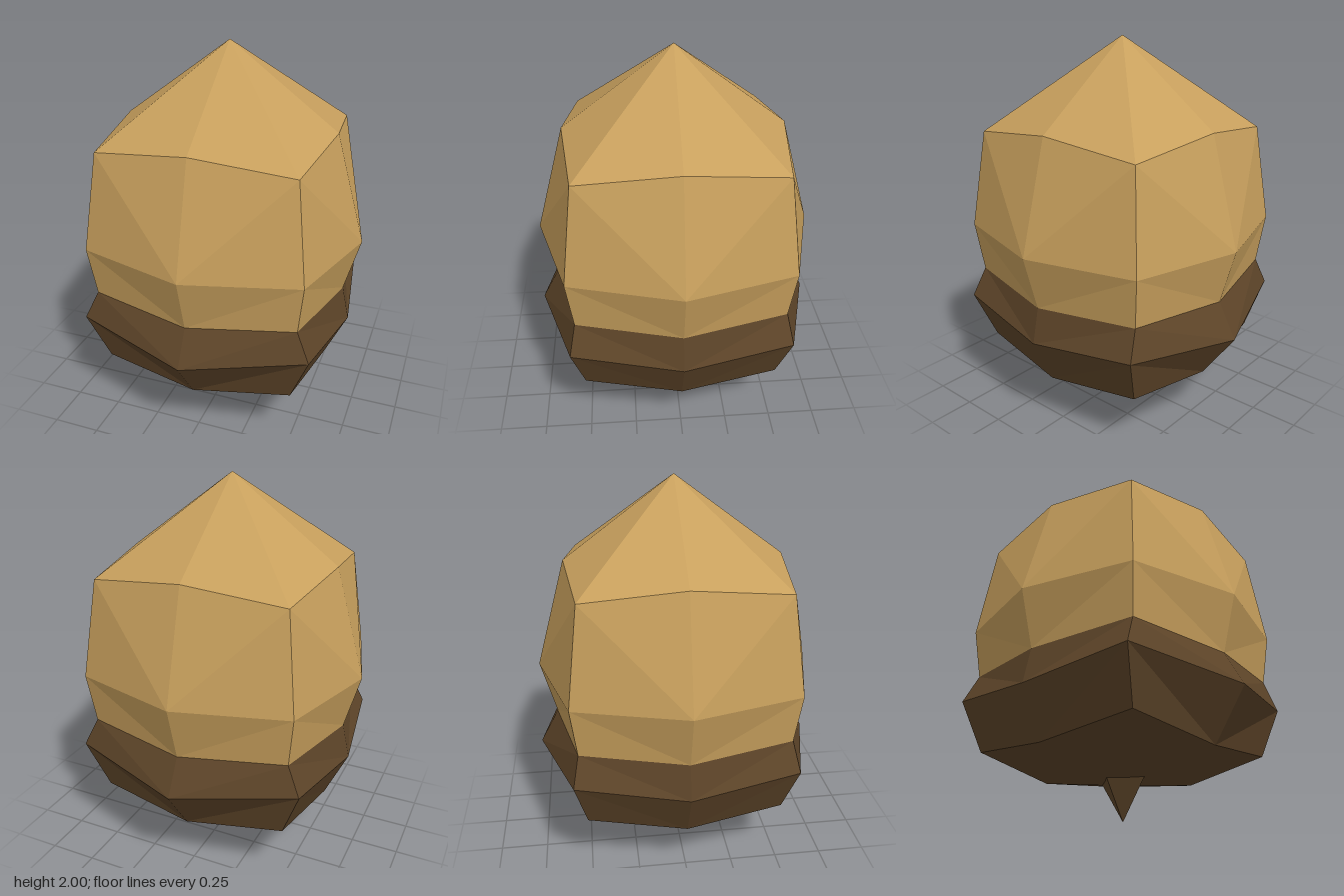
import * as THREE from 'three';

// Ring of eight points: four on the axes, four on the diagonals.
// Arguments: axis x, axis z, axis height, diagonal x, diagonal z, diagonal height.
function ring(ax, az, ay, dx, dz, dy) {
  const points = [];
  for (let i = 0; i < 8; i++) {
    const angle = i * Math.PI / 4;
    const sx = Math.round(Math.sin(angle)), sz = Math.round(Math.cos(angle));
    const diagonal = i % 2 === 1;
    points.push([sx * (diagonal ? dx : ax), diagonal ? dy : ay, sz * (diagonal ? dz : az)]);
  }
  return points;
}

// Faceted skin over rings listed from bottom to top; a tip is a collapsed ring.
function facetedShell(rings) {
  const positions = [];
  const triangle = (a, b, c) => {
    const va = new THREE.Vector3(...a), vb = new THREE.Vector3(...b), vc = new THREE.Vector3(...c);
    if (vb.sub(va).cross(vc.sub(va)).length() > 1e-6) positions.push(...a, ...b, ...c);
  };
  for (let r = 0; r < rings.length - 1; r++) {
    for (let i = 0; i < 8; i++) {
      const j = (i + 1) % 8;
      const a = rings[r][i], b = rings[r][j], c = rings[r + 1][j], d = rings[r + 1][i];
      // Mirror the split so that facets are symmetric about each axis
      if (i % 2 === 0) {
        triangle(a, b, c);
        triangle(a, c, d);
      } else {
        triangle(a, b, d);
        triangle(b, c, d);
      }
    }
  }
  const geometry = new THREE.BufferGeometry();
  geometry.setAttribute('position', new THREE.Float32BufferAttribute(positions, 3));
  geometry.computeVertexNormals();
  return geometry;
}

const tip = (y) => ring(0, 0, y, 0, 0, y);

export function createModel() {
  const group = new THREE.Group();
  const nutTan = new THREE.MeshStandardMaterial({ color: 0xc8a05d });
  nutTan.name = 'nutTan';
  const capBrown = new THREE.MeshStandardMaterial({ color: 0x5e4529 });
  capBrown.name = 'capBrown';

  const add = (name, geometry, material) => {
    const mesh = new THREE.Mesh(geometry, material);
    mesh.name = name;
    group.add(mesh);
    return mesh;
  };

  // Nut, running down a little inside the cap
  add('nut', facetedShell([
    tip(0.45),
    ring(0.57, 0.57, 0.5, 0.49, 0.49, 0.54),
    ring(0.65, 0.65, 0.72, 0.54, 0.54, 0.75),
    ring(0.73, 0.73, 1.01, 0.57, 0.57, 1.01),
    ring(0.57, 0.57, 1.58, 0.51, 0.51, 1.52),
    tip(2),
  ]), nutTan);

  // Cap, widest around its middle and a little deeper than wide
  add('cap', facetedShell([
    tip(0.18),
    ring(0.57, 0.57, 0.28, 0.51, 0.51, 0.34),
    ring(0.69, 0.75, 0.535, 0.61, 0.57, 0.6),
    ring(0.65, 0.65, 0.72, 0.54, 0.54, 0.75),
  ]), capBrown);

  // Pointed four-sided stem with its root hidden in the cap
  const stemGeometry = new THREE.ConeGeometry(0.15, 0.25, 4).toNonIndexed();
  stemGeometry.computeVertexNormals();
  const stem = add('stem', stemGeometry, capBrown);
  stem.rotation.x = Math.PI;
  stem.scale.z = 1.15;
  stem.position.y = 0.125;

  return group;
}
